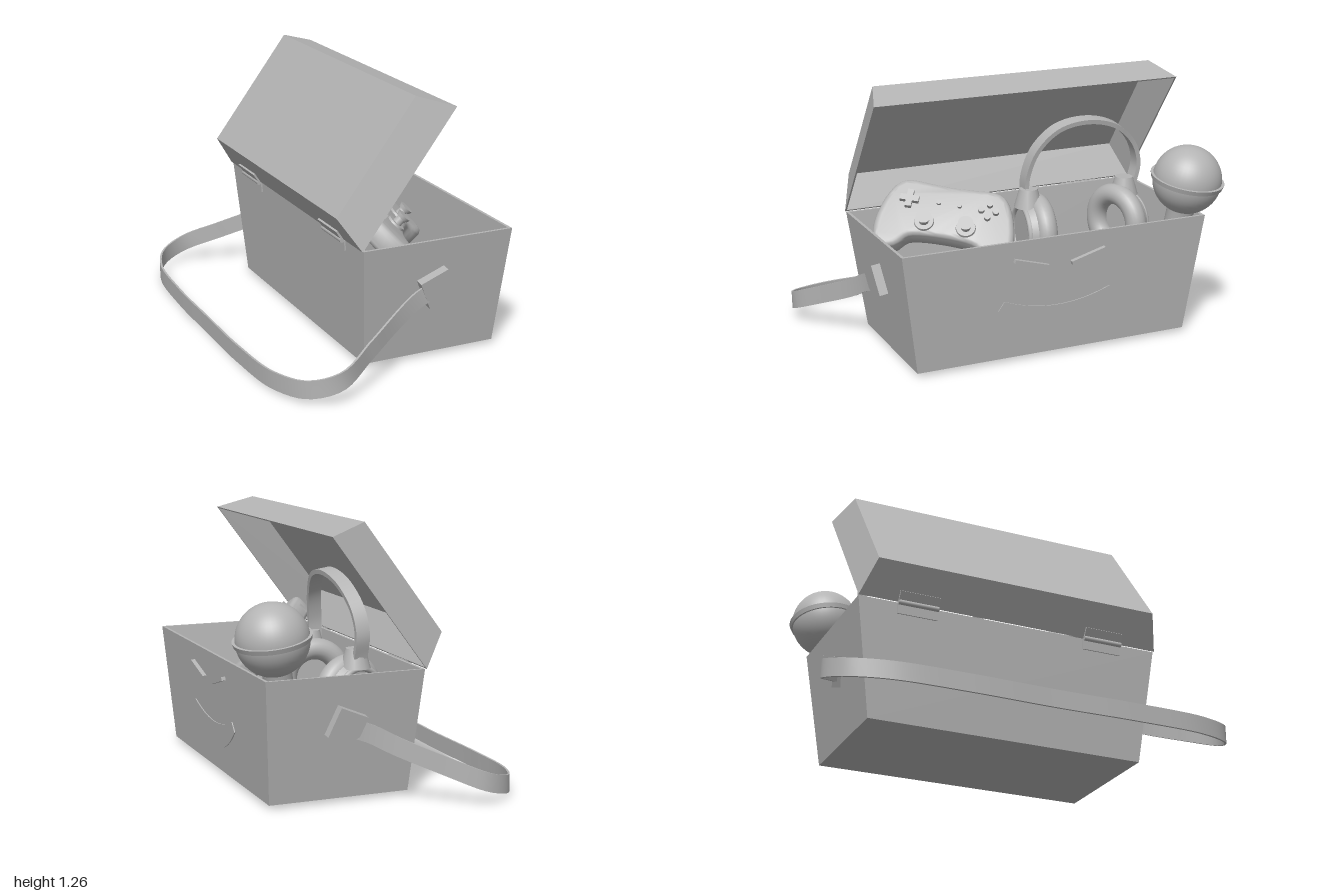
import * as THREE from 'three';
import { toCreasedNormals } from 'three/addons/utils/BufferGeometryUtils.js';

const V = (x, y, z) => new THREE.Vector3(x, y, z);
const grey = new THREE.MeshStandardMaterial({ color: 0xb4b4b4 });
grey.name = 'grey';

function add(parent, name, geometry, pos = [0, 0, 0], rot = [0, 0, 0]) {
  const m = new THREE.Mesh(geometry, grey);
  m.name = name;
  m.position.set(...pos);
  m.rotation.set(...rot);
  parent.add(m);
  return m;
}

function addGroup(parent, name, pos = [0, 0, 0], rot = [0, 0, 0]) {
  const g = new THREE.Group();
  g.name = name;
  g.position.set(...pos);
  g.rotation.set(...rot);
  parent.add(g);
  return g;
}

const box = (w, h, d) => new THREE.BoxGeometry(w, h, d);
const cyl = (r1, r2, h, n = 32) => new THREE.CylinderGeometry(r1, r2, h, n);

// Skin through four-cornered rings, capped at both ends
function loft(rings) {
  const p = [];
  const quad = (a, b, c, d) => [a, b, c, a, c, d].forEach((v) => p.push(v.x, v.y, v.z));
  for (let k = 0; k < rings.length - 1; k++) {
    for (let i = 0; i < 4; i++) {
      const j = (i + 1) % 4;
      quad(rings[k][i], rings[k][j], rings[k + 1][j], rings[k + 1][i]);
    }
  }
  quad(...[...rings[0]].reverse());
  quad(...rings[rings.length - 1]);
  const g = new THREE.BufferGeometry();
  g.setAttribute('position', new THREE.Float32BufferAttribute(p, 3));
  return toCreasedNormals(g, 0.5);
}

// Tapered tray, open at the top, with wall thickness t
function tray(baseW, baseD, rimW, rimD, h, t) {
  const ring = (w, d, y) => [
    V(-w / 2, y, -d / 2), V(-w / 2, y, d / 2), V(w / 2, y, d / 2), V(w / 2, y, -d / 2),
  ];
  return loft([
    ring(baseW, baseD, 0), ring(rimW, rimD, h),
    ring(rimW - 2 * t, rimD - 2 * t, h), ring(baseW - 2 * t, baseD - 2 * t, t),
  ]);
}

// Flat band along a curve, its width kept close to the direction ref
function ribbon(points, ref, width, thick, n) {
  const curve = new THREE.CatmullRomCurve3(points);
  const rings = [];
  for (let i = 0; i <= n; i++) {
    const c = curve.getPointAt(i / n), t = curve.getTangentAt(i / n);
    const w = ref.clone().addScaledVector(t, -ref.dot(t)).normalize();
    const o = t.clone().cross(w);
    rings.push([[1, 1], [-1, 1], [-1, -1], [1, -1]].map(([a, b]) =>
      c.clone().addScaledVector(w, a * width / 2).addScaledVector(o, b * thick / 2)));
  }
  return loft(rings);
}

function buildFace(root) {
  const face = addGroup(root, 'face', [0.508, 0.02, 0], [0, 0, -0.074]);
  const front = addGroup(face, 'facePlate', [0, 0, 0], [0, Math.PI / 2, 0]);
  for (const s of [-1, 1]) add(front, 'eye', box(0.178, 0.018, 0.02), [s * 0.145, 0.465, 0.012], [0, 0, s * 0.28]);
  const mouth = new THREE.Shape();
  mouth.moveTo(-0.27, 0.29);
  mouth.quadraticCurveTo(0, 0.18, 0.27, 0.29);
  mouth.lineTo(0.3, 0.245);
  mouth.quadraticCurveTo(0, -0.025, -0.3, 0.245);
  mouth.closePath();
  add(front, 'smile', new THREE.ExtrudeGeometry(mouth, { depth: 0.006, bevelEnabled: false, curveSegments: 20 }), [0, 0, -0.003]);
}

function buildStrap(root) {
  const half = [[0.16, 0.36, 0.765], [0.06, 0.325, 0.775], [-0.06, 0.262, 0.81], [-0.24, 0.182, 0.9],
    [-0.42, 0.107, 0.985], [-0.55, 0.07, 0.93], [-0.635, 0.054, 0.75], [-0.664, 0.046, 0.4]];
  const path = [...half.map(([x, y, z]) => V(x, y, z)), V(-0.664, 0.043, 0),
    ...half.map(([x, y, z]) => V(x, y, -z)).reverse()];
  add(root, 'strap', ribbon(path, V(0, 1, 0), 0.084, 0.01, 100));
  for (const s of [-1, 1]) {
    add(root, 'strapPad', box(0.145, 0.145, 0.05), [0.165, 0.365, s * 0.756], [s * 0.139, 0, 0.4]);
  }
}

function buildMicrophone(root) {
  const mic = addGroup(root, 'microphone', [0.49, 0.765, -0.7]);
  mic.quaternion.setFromUnitVectors(V(0, 1, 0), V(0.17, 1, -0.1).normalize());
  add(mic, 'grille', new THREE.SphereGeometry(0.165, 40, 28));
  add(mic, 'collar', cyl(0.178, 0.172, 0.022, 40));
  const profile = [[0, -0.56], [0.04, -0.55], [0.066, -0.22], [0.066, -0.14], [0.08, -0.1]];
  add(mic, 'handle', new THREE.LatheGeometry(profile.map(([x, y]) => new THREE.Vector2(x, y)), 32));
}

function buildGamepad(root) {
  const pad = addGroup(root, 'gamepad', [0.095, 0.64, 0.365]);
  const right = V(0.51, -0.13, -0.85).normalize();
  const up = V(0.64, 0.71, 0.275).cross(right).normalize();
  pad.quaternion.setFromRotationMatrix(new THREE.Matrix4().makeBasis(right, up, right.clone().cross(up)));
  // Symmetric outline with two grips
  const side = [[0.1, 0.105], [0.22, 0.105], [0.275, 0.03], [0.305, -0.1], [0.29, -0.2], [0.23, -0.2], [0.16, -0.135]];
  const outline = [[0, 0.1], ...side, [0, -0.12], ...side.map(([x, y]) => [-x, y]).reverse()]
    .map(([x, y]) => new THREE.Vector2(x, y));
  outline.push(outline[0].clone());
  const shape = new THREE.Shape(new THREE.SplineCurve(outline).getPoints(72).slice(0, -1));
  const body = new THREE.ExtrudeGeometry(shape, { depth: 0.05, bevelThickness: 0.03, bevelSize: 0.028, bevelSegments: 5 });
  add(pad, 'gamepadBody', toCreasedNormals(body, 0.7), [0, 0, -0.08]);
  // Cross pad
  add(pad, 'crossPad', box(0.09, 0.03, 0.03), [-0.19, 0.02, 0.008]);
  add(pad, 'crossPad', box(0.03, 0.09, 0.03), [-0.19, 0.02, 0.008]);
  const flat = [Math.PI / 2, 0, 0];
  for (let i = 0; i < 4; i++) {
    const a = i * Math.PI / 2;
    add(pad, 'button', cyl(0.015, 0.015, 0.025, 20), [0.19 + 0.035 * Math.cos(a), 0.02 + 0.035 * Math.sin(a), 0.008], flat);
  }
  for (const s of [-1, 1]) {
    add(pad, 'menuButton', cyl(0.011, 0.011, 0.02, 16), [s * 0.05, 0.025, 0.004], flat);
    add(pad, 'stickBase', cyl(0.045, 0.048, 0.012), [s * 0.1, -0.085, 0.004], flat);
    add(pad, 'stickStem', cyl(0.02, 0.024, 0.04, 20), [s * 0.1, -0.085, 0.025], flat);
    add(pad, 'stickCap', cyl(0.036, 0.03, 0.018), [s * 0.1, -0.085, 0.05], flat);
    add(pad, 'shoulderButton', box(0.13, 0.035, 0.05), [s * 0.19, 0.115, -0.065], [0, 0, -s * 0.15]);
  }
}

function buildHeadphones(root) {
  const phones = addGroup(root, 'headphones');
  const path = [[0.03, 0.63, -0.06], [0.035, 0.74, -0.065], [0.055, 0.87, -0.11], [0.08, 0.97, -0.21], [0.09, 1.0, -0.36],
    [0.08, 0.96, -0.52], [0.06, 0.86, -0.63], [0.05, 0.75, -0.665], [0.05, 0.64, -0.64]];
  add(phones, 'headband', ribbon(path.map((p) => V(...p)), V(1, -0.15, 0), 0.065, 0.022, 50));
  for (const [z, s, yaw] of [[-0.09, -1, -0.1], [-0.58, 1, 0.3]]) {
    // Each cup's ear pad faces the other cup
    const cup = addGroup(phones, 'earCup', [0.06, 0.46, z], [0, s > 0 ? yaw : Math.PI + yaw, 0]);
    add(cup, 'earPad', new THREE.TorusGeometry(0.135, 0.052, 20, 48), [0, 0, 0.03]);
    add(cup, 'cupShell', cyl(0.17, 0.14, 0.06, 40), [0, 0, -0.02], [Math.PI / 2, 0, 0]);
    add(cup, 'cupRing', new THREE.TorusGeometry(0.13, 0.014, 10, 40), [0, 0, -0.05]);
    add(cup, 'cupJoint', cyl(0.045, 0.07, 0.09, 16), [0, 0.175, -0.02]);
  }
}

function buildHinges(root) {
  for (const z of [-0.48, 0.48]) {
    const hinge = addGroup(root, 'hinge', [0, 0, z]);
    add(hinge, 'hingeBarrel', cyl(0.012, 0.012, 0.2, 16), [-0.226, 0.592, 0], [Math.PI / 2, 0, 0]);
    add(hinge, 'hingeLowerLeaf', box(0.01, 0.05, 0.2), [-0.211, 0.565, 0], [0, 0, 0.074]);
    add(hinge, 'hingeUpperLeaf', box(0.01, 0.05, 0.2), [-0.239, 0.617, 0], [0, 0, 0.57]);
  }
}

export function createModel() {
  const root = new THREE.Group();
  root.name = 'toyChest';
  add(root, 'chest', tray(0.675, 1.38, 0.76, 1.54, 0.575, 0.014), [0.169, 0.02, 0]);
  add(root, 'lid', tray(0.639, 1.43, 0.764, 1.545, 0.173, 0.008), [-0.128, 1.004, 0], [0, 0, Math.atan2(-0.8, -0.6)]);
  buildHinges(root);
  buildFace(root);
  buildStrap(root);
  buildMicrophone(root);
  buildGamepad(root);
  buildHeadphones(root);
  return root;
}
